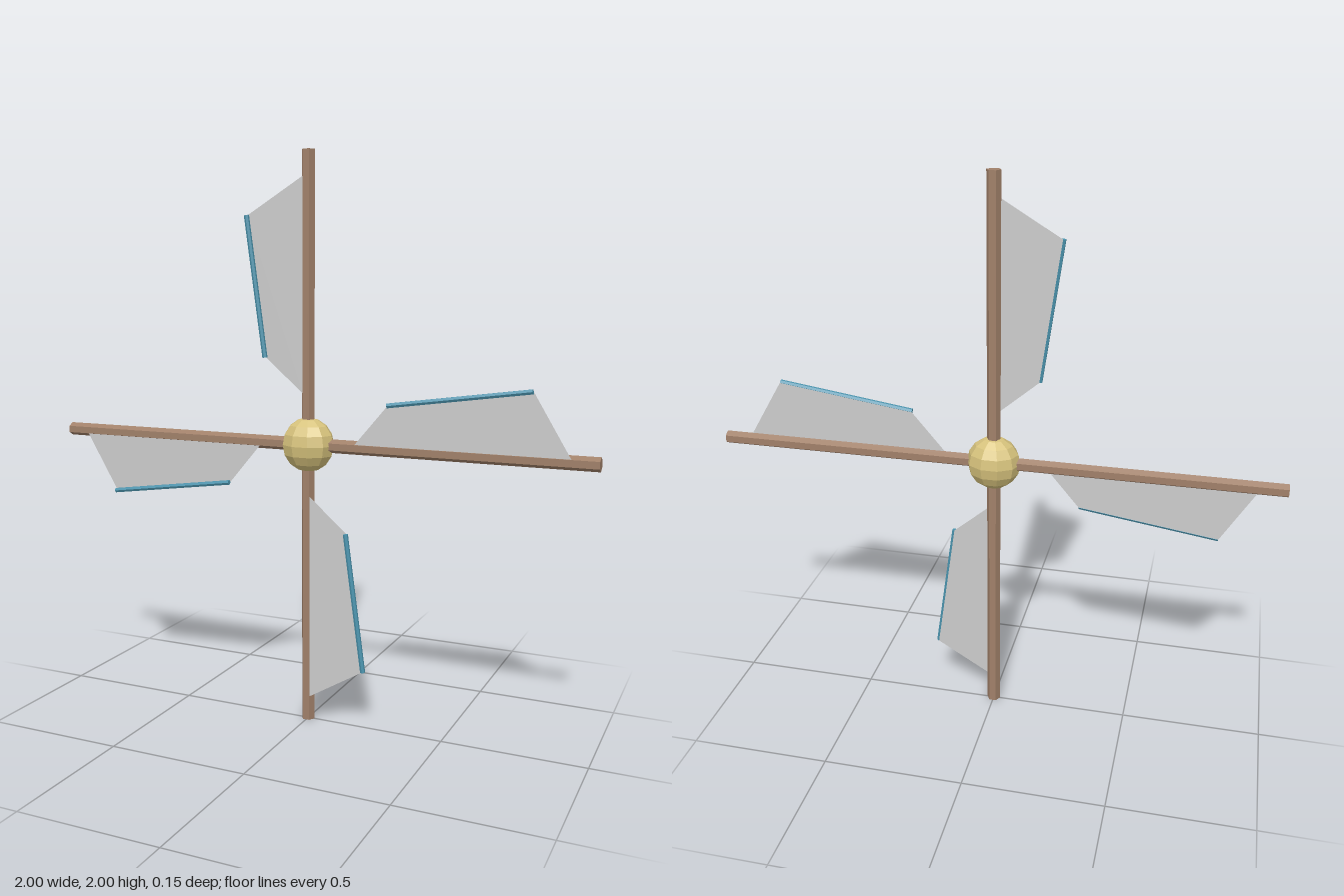
import * as THREE from 'three';

const material = (color, extra = {}) =>
  new THREE.MeshStandardMaterial({ color, flatShading: true, ...extra });

const wood = material(0xa08069);
const brass = material(0xd6c27c);
const blue = material(0x4a93ad);
const cloth = new THREE.MeshStandardMaterial({ color: 0xcccccc, side: THREE.DoubleSide });

function part(name, geometry, mat) {
  const mesh = new THREE.Mesh(geometry, mat);
  mesh.name = name;
  return mesh;
}

// One blade pointing up from the hub: thin cloth panel with a rod on its outer edge
function makeBlade() {
  const blade = new THREE.Group();
  const inner = new THREE.Vector2(-0.153, 0.3);
  const outer = new THREE.Vector2(-0.221, 0.787);

  const outline = new THREE.Shape([
    new THREE.Vector2(-0.012, 0.18), new THREE.Vector2(-0.012, 0.912), outer, inner,
  ]);
  const sail = part('sail', new THREE.ShapeGeometry(outline), cloth);
  sail.position.z = 0.0195;

  const along = outer.clone().sub(inner);
  const rod = part('sailRod', new THREE.CylinderGeometry(0.009, 0.009, along.length(), 6), blue);
  rod.position.set((inner.x + outer.x) / 2, (inner.y + outer.y) / 2, 0.028);
  rod.rotation.z = Math.atan2(-along.x, along.y);

  blade.add(sail, rod);
  return blade;
}

export function createModel() {
  const model = new THREE.Group();
  model.name = 'windmillSails';

  const rotor = new THREE.Group();
  rotor.name = 'rotor';
  rotor.position.y = 1;
  model.add(rotor);

  // Squashed faceted hub
  const hub = part('hub', new THREE.SphereGeometry(0.095, 10, 8), brass);
  hub.scale.z = 0.83;
  rotor.add(hub);

  // Two crossing hexagonal spars, corners in the plane of the rotor
  for (let i = 0; i < 2; i++) {
    const geometry = new THREE.CylinderGeometry(0.024, 0.024, 2, 6).rotateY(Math.PI / 6);
    const spar = part(i ? 'horizontalSpar' : 'verticalSpar', geometry, wood);
    spar.rotation.z = i * Math.PI / 2;
    rotor.add(spar);
  }

  // Four blades, a quarter turn apart
  ['top', 'right', 'bottom', 'left'].forEach((side, i) => {
    const blade = makeBlade();
    blade.name = side + 'Blade';
    blade.rotation.z = i * Math.PI / 2;
    rotor.add(blade);
  });

  return model;
}
